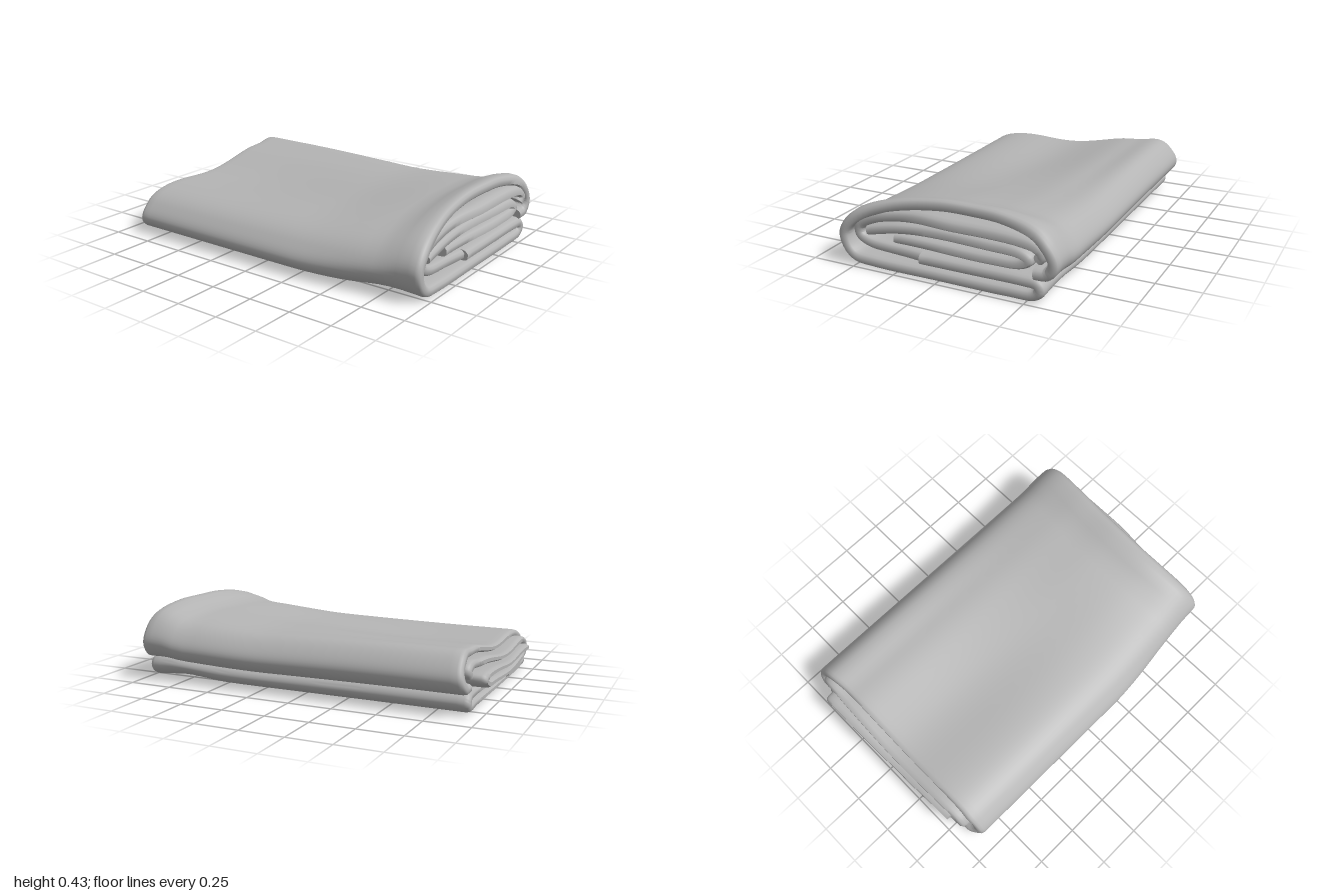
import * as THREE from 'three';
import { toCreasedNormals } from 'three/addons/utils/BufferGeometryUtils.js';

const smooth = THREE.MathUtils.smoothstep;

// Soft drape of the whole stack, from the flattened -x end to the flared +x end.
function drape(x, z, y) {
  // Height swells towards +x, with a flared lip
  const swell = 0.775 + 0.09 * smooth(x, 0.2, 0.8) + 0.135 * smooth(x, 0.72, 0.9) - 0.05 * smooth(x, 0.93, 1);
  // Away from the flare the middle sinks and a ridge stays along the back
  const sink = 1 - smooth(x, -0.6, 0.9);
  const dip = 1 + sink * (0.12 * smooth(-z, 0.4, 0.6) - 0.26 * Math.exp(-(((z - 0.05) / 0.33) ** 2)));
  // The front edge bulges low down, and pulls back at +x
  const low = 1 - smooth(y, 0.08, 0.24);
  const front = z > 0 ? 1 + (1 - smooth(x, 0.2, 1)) * (0.05 + 0.085 * low) : 1;
  // The underside lifts a little beside the flare
  const lift = 0.02 * Math.exp(-(((x - 0.75) / 0.16) ** 2)) * (1 - smooth(y, 0, 0.2));
  return [x, y * swell * dip + lift, z * front];
}

// A thick folded sheet: a centre line of [z, y] points swept between two end edges.
function foldedSheet(name, path, half, minX, maxX, material) {
  const curve = new THREE.CatmullRomCurve3(path.map(([z, y]) => new THREE.Vector3(z, y, 0)), false, 'centripetal');
  const n = path.length * 6;
  const mid = [];
  for (let k = 0; k < n; k++) {
    const p = curve.getPoint(k / (n - 1));
    const d = curve.getTangent(k / (n - 1));
    mid.push({ z: p.x, y: p.y, nz: -d.y, ny: d.x });
  }

  // Stations along x; the end ones are thinner, for rounded hems.
  const stations = [[0, 0.45], [0.006, 0.85], [0.015, 1]];
  for (let i = 1; i < 28; i++) stations.push([i / 28, 1]);
  stations.push([0.985, 1], [0.994, 0.85], [1, 0.45]);

  const pos = [];
  const index = [];
  const ring = 2 * n;
  for (const [s, thick] of stations) {
    for (let j = 0; j < ring; j++) {
      const m = mid[j < n ? j : ring - 1 - j];
      const x = THREE.MathUtils.lerp(minX(m.z, m.y), maxX(m.z, m.y), s);
      const h = half * thick * (j < n ? 1 : -1);
      pos.push(...drape(x, m.z + m.nz * h, Math.max(0.004, m.y + m.ny * h)));
    }
  }
  for (let i = 0; i < stations.length - 1; i++) {
    for (let j = 0; j < ring; j++) {
      const a = i * ring + j, b = i * ring + (j + 1) % ring;
      index.push(a, b, b + ring, a, b + ring, a + ring);
    }
  }
  // Hems at both ends
  const last = (stations.length - 1) * ring;
  for (let k = 0; k < n - 1; k++) {
    const l0 = k, l1 = k + 1, r0 = ring - 1 - k, r1 = ring - 2 - k;
    index.push(last + l0, last + l1, last + r1, last + l0, last + r1, last + r0);
    index.push(l0, r1, l1, l0, r0, r1);
  }

  const geo = new THREE.BufferGeometry();
  geo.setAttribute('position', new THREE.Float32BufferAttribute(pos, 3));
  geo.setIndex(index);
  const mesh = new THREE.Mesh(toCreasedNormals(geo, 0.9), material);
  mesh.name = name;
  return mesh;
}

export function createModel() {
  const group = new THREE.Group();
  group.name = 'foldedBlanket';
  const cloth = new THREE.MeshStandardMaterial({ color: 0xb4b4b4 });
  cloth.name = 'greyCloth';

  // Outer wrap: bottom fold, round the front, over the top and tucked in at the back
  group.add(foldedSheet('outerWrap', [
    [0.1, 0.112], [-0.2, 0.112], [-0.48, 0.112], [-0.555, 0.104], [-0.572, 0.075], [-0.545, 0.044],
    [-0.4, 0.035], [0, 0.035], [0.38, 0.036], [0.5, 0.05], [0.55, 0.1], [0.568, 0.185],
    [0.5, 0.27], [0.3, 0.348], [0.02, 0.394], [-0.18, 0.4], [-0.36, 0.396], [-0.54, 0.36],
    [-0.61, 0.3], [-0.642, 0.225], [-0.61, 0.168], [-0.54, 0.16],
  ], 0.031,
  (z, y) => -0.895 - 0.02 * smooth(-z, 0.4, 0.65) - 0.03 * (1 - smooth(y, 0.12, 0.3)) * (1 - smooth(z, 0.5, 0.57)),
  (z, y) => 0.985 - 0.058 * Math.max(0, 1 - (z / 0.6) ** 2) * smooth(y, 0.15, 0.38), cloth));

  // Second wrap: turns up inside the front edge, runs back and folds under itself
  group.add(foldedSheet('innerWrap', [
    [0.08, 0.112], [0.3, 0.116], [0.43, 0.13], [0.49, 0.165], [0.49, 0.215],
    [0.4, 0.27], [0.15, 0.318], [-0.15, 0.328], [-0.45, 0.32], [-0.55, 0.298],
    [-0.582, 0.265], [-0.56, 0.235],
  ], 0.03,
  (z) => -0.945 - 0.015 * Math.cos(3 * z),
  (z) => 0.95 + 0.03 * smooth(-z, -0.28, 0.1), cloth));

  // Core: the innermost tucked layers, sticking out furthest at -x
  group.add(foldedSheet('coreFold', [
    [0.27, 0.18], [0, 0.18], [-0.3, 0.182], [-0.46, 0.19], [-0.505, 0.216], [-0.46, 0.244],
    [-0.3, 0.255], [0, 0.254], [0.25, 0.235], [0.44, 0.195],
  ], 0.028,
  (z) => -0.99 + 0.03 * z,
  (z) => 0.95 + 0.02 * smooth(-z, -0.2, 0.3), cloth));

  return group;
}
